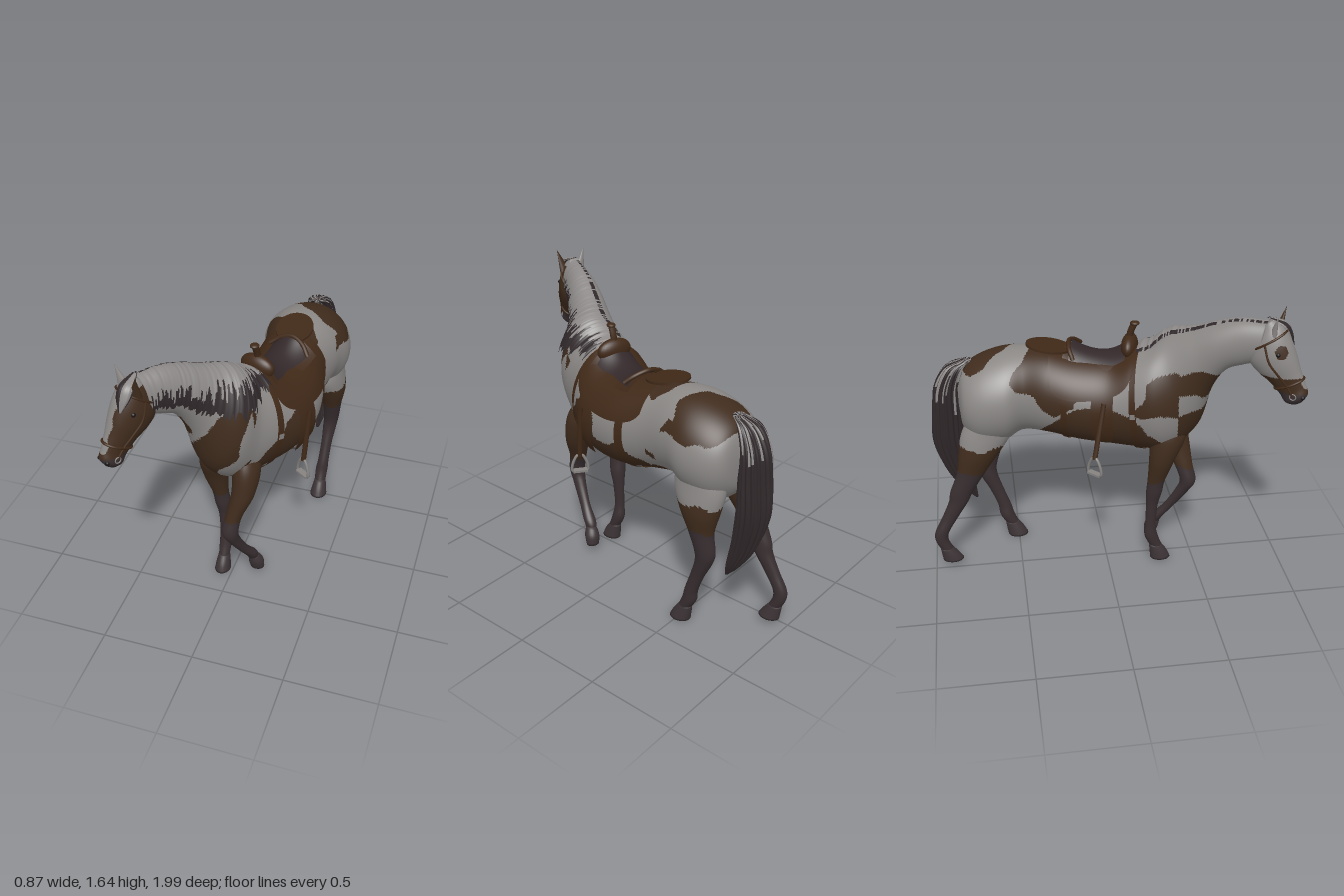
import * as THREE from 'three';

const mat = (name, color, side = THREE.FrontSide) => Object.assign(new THREE.MeshStandardMaterial({ color, side }), { name });
const V = (x, y, z) => new THREE.Vector3(x, y, z);
const hash = (n) => { const s = Math.sin(n * 127.1 + 3.7) * 43758.5453; return s - Math.floor(s); };

// Grid surface f(i, j); closed wraps j. paint(centre, i, j) picks a material index per triangle.
function grid(name, nu, nv, f, closed, mats, paint = () => 0) {
  const pos = [], cols = closed ? nv : nv + 1, lists = mats.map(() => []), pts = [];
  for (let i = 0; i <= nu; i++) for (let j = 0; j < cols; j++) {
    const p = f(i, j);
    pts.push(p);
    pos.push(p.x, p.y, p.z);
  }
  const id = (i, j) => i * cols + (j % cols);
  for (let i = 0; i < nu; i++) for (let j = 0; j < nv; j++) {
    const a = id(i, j), b = id(i, j + 1), c = id(i + 1, j), d = id(i + 1, j + 1);
    for (const tri of [[a, b, c], [b, d, c]]) {
      const m = V(0, 0, 0);
      tri.forEach((k) => m.addScaledVector(pts[k], 1 / 3));
      lists[paint(m, i, j)].push(...tri);
    }
  }
  const g = new THREE.BufferGeometry();
  g.setAttribute('position', new THREE.Float32BufferAttribute(pos, 3));
  g.setIndex(lists.flat());
  let start = 0;
  lists.forEach((l, k) => { if (l.length) g.addGroup(start, l.length, k); start += l.length; });
  g.computeVertexNormals();
  const mesh = new THREE.Mesh(g, mats);
  mesh.name = name;
  return mesh;
}

// Smooth tube through elliptical rings {c, a, b}; t counts rings, angle 0 is the left side, 90 degrees the top.
function makeSurface(rings) {
  const curve = (k) => new THREE.CatmullRomCurve3(rings.map((r) => r[k]), false, 'catmullrom', 0.5);
  const C = curve('c'), A = curve('a'), B = curve('b'), n = rings.length - 1;
  const at = (t, ang, s = 1) => {
    const u = THREE.MathUtils.clamp(t / n, 0, 1);
    return C.getPoint(u).addScaledVector(A.getPoint(u), s * Math.cos(ang)).addScaledVector(B.getPoint(u), s * Math.sin(ang));
  };
  return { at, n };
}
const loft = (name, surf, nu, nv, mats, paint, bump = () => 1) => grid(name, nu, nv, (i, j) => {
  const t = THREE.MathUtils.clamp((i - 1) / (nu - 2), 0, 1) * surf.n, ang = (j / nv) * Math.PI * 2;
  return surf.at(t, ang, i === 0 || i === nu ? 0 : bump(ang, t));
}, true, mats, paint);
// Open sheet over a surface; edges(u) gives the two edge angles in degrees
const sheet = (name, surf, t0, t1, edges, s, m) => grid(name, 24, 48, (i, j) => {
  const [a0, a1] = edges(i / 24);
  return surf.at(t0 + (t1 - t0) * i / 24, (a0 + (a1 - a0) * j / 48) * Math.PI / 180, s);
}, false, [m]);

// Ring from its side profile: top z, top y, bottom z, bottom y, centre x, half width, yaw
const profileRing = ([tz, ty, bz, by, x, w, yaw]) => ({
  c: V(x, (ty + by) / 2, (tz + bz) / 2),
  a: V(Math.cos(yaw) * w, 0, Math.sin(yaw) * w),
  b: V(-Math.tan(yaw) * (tz - bz) / 2, (ty - by) / 2, (tz - bz) / 2),
});
const flatRing = ([x, y, z, rx, rz]) => ({ c: V(x, y, z), a: V(rx, 0, 0), b: V(0, 0, rz) });

// Brown patches: (z, y) outlines on the sides, (x, y) on the chest, (x, z) on the croup
const leftPatches = [
  [[.44, 1.27], [.41, 1.2], [.44, 1.08], [.5, 1], [.7, 1], [.56, 1.2]],
  [[.31, .98], [.25, 1.08], [.08, 1.12], [.04, .95], [-.08, .92], [-.15, .97], [-.2, .88], [-.3, .86], [-.42, .83], [-.42, .6], [.6, .6], [.5, .83], [.42, .85]],
  [[-.45, 1.22], [-.5, 1.26], [-.78, 1.26], [-.78, 1.18], [-.7, 1.12], [-.55, 1.13], [-.42, 1.13]],
  [[-.31, .98], [-.37, .98], [-.37, .945], [-.31, .95]],
  [[-.28, .87], [-.31, .89], [-.39, .885], [-.41, .84], [-.3, .84]],
];
const rightPatches = [
  [[.55, 1.05], [.48, 1.24], [.33, 1.28], [.2, 1.19], [.12, 1.02], [.3, 1.01]],
  [[.2, .9], [.12, 1], [-.1, 1.05], [-.3, .95], [-.38, .82], [-.38, .6], [.6, .6], [.5, .8], [.3, .82]],
  [[-.15, 1.25], [-.18, 1.02], [-.3, .98], [-.42, 1.1], [-.5, 1.16], [-.53, 1.25]],
];
const chestPatches = [
  [[.15, 1.3], [.03, 1.25], [-.03, 1.18], [-.1, 1.08], [-.24, .99], [-.24, .7], [.01, .7], [-.03, .84], [.09, .98], [.13, 1.1]],
  [[-.01, .78], [.06, .83], [.16, .93], [.3, 1.03], [.3, .7], [-.01, .7]],
  [[-.24, 1.28], [-.15, 1.25], [-.13, 1.13], [-.18, 1.11], [-.24, 1.2]],
];
const croupPatches = [
  [[.03, -.78], [.07, -.66], [.16, -.55], [.3, -.47], [.45, -.48], [.45, -.7], [.35, -.85], [.1, -.85]],
  [[-.12, -.54], [.02, -.49], [.12, -.42], [.24, -.38], [.29, -.3], [.2, -.15], [-.1, -.15]],
];
const inside = (poly, u, v) => {
  let hit = false;
  poly.forEach(([u1, v1], i) => {
    const [u2, v2] = poly[(i + 1) % poly.length];
    if ((v1 > v) !== (v2 > v) && u < (u2 - u1) * (v - v1) / (v2 - v1) + u1) hit = !hit;
  });
  return hit;
};
// 0 = grey, 1 = brown, 2 = dark
function paintCoat(p) {
  const z = p.z + .012 * Math.sin(p.y * 38), y = p.y + .012 * Math.sin(p.z * 33 + p.x * 20), x = p.x + .01 * Math.sin(p.y * 30 + p.z * 25);
  if (y < .63) return 2;
  if (y < .79) return 1;
  let patches = p.x > .16 - .45 * Math.max(0, p.z + .05) ? leftPatches : rightPatches, u = z, v = y;
  if (p.z > .4 + .2 * p.x) [patches, u, v] = [chestPatches, x, y];
  else if (p.z < -.2 && p.y > 1.2) [patches, u, v] = [croupPatches, x, z];
  return patches.some((q) => inside(q, u, v)) ? 1 : 0;
}
const paintFrontLeg = (p) => (p.y < .55 + .012 * Math.sin(p.z * 33 + p.x * 20) ? 2 : 1);
function paintHead(p) {
  const s = (p.x + .31) * .863 + (p.z - .8) * .505, w = .006 * Math.sin(p.y * 60);
  if (p.y < 1.225) return 2;
  if (s < -.05 && Math.hypot(p.y - 1.455, p.z - .83) < .035) return 1;
  return p.y > 1.555 || (s < .015 + w && p.y > 1.31) || (Math.abs(s) < .02 + w && p.z > .9 && p.y > 1.25) ? 0 : 1;
}

export function createModel() {
  const horse = new THREE.Group();
  horse.name = 'horse';
  const grey = mat('greyCoat', 0x8a8785), brown = mat('brownCoat', 0x402c1d), dark = mat('darkCoat', 0x382e30);
  const hoofMat = mat('hoof', 0x3c3335), hairLight = mat('lightHair', 0x8c8988, THREE.DoubleSide);
  const hairDark = mat('darkHair', 0x30282a, THREE.DoubleSide), leather = mat('leather', 0x402918, THREE.DoubleSide);
  const seatMat = mat('seatLeather', 0x33282a, THREE.DoubleSide), metal = mat('metal', 0x858280), black = mat('eyeBlack', 0x151212);
  const coat = [grey, brown, dark];
  const add = (name, geo, m, parent = horse) => {
    const mesh = new THREE.Mesh(geo, m);
    mesh.name = name;
    parent.add(mesh);
    return mesh;
  };
  const tube = (name, pts, r, m, closed = false, parent = horse) =>
    add(name, new THREE.TubeGeometry(new THREE.CatmullRomCurve3(pts, closed), 48, r, 8, closed), m, parent);

  // Trunk and neck
  const body = makeSurface([
    [-.80, 1.12, -.80, .98, .17, .06, 0], [-.765, 1.2, -.78, .86, .17, .17, 0], [-.68, 1.26, -.70, .78, .17, .23, 0],
    [-.56, 1.3, -.56, .78, .17, .25, 0], [-.44, 1.31, -.45, .83, .17, .22, .05], [-.3, 1.29, -.3, .8, .165, .2, .15],
    [-.12, 1.25, -.12, .755, .155, .235, .27], [.05, 1.25, .05, .735, .12, .24, .33], [.17, 1.31, .2, .73, .06, .225, .38],
    [.25, 1.35, .36, .75, -.005, .21, .42], [.34, 1.42, .5, .9, -.035, .18, .47], [.44, 1.47, .55, 1.15, -.11, .12, .5],
    [.55, 1.53, .61, 1.28, -.175, .095, .53], [.66, 1.57, .69, 1.33, -.235, .08, .53], [.78, 1.58, .76, 1.36, -.295, .07, .53],
  ].map(profileRing));
  horse.add(loft('body', body, 230, 140, coat, paintCoat));

  // Head
  const head = makeSurface([
    [.80, 1.60, .76, 1.56, .03], [.85, 1.57, .72, 1.46, .07], [.89, 1.5, .71, 1.37, .088], [.92, 1.42, .75, 1.31, .082],
    [.945, 1.34, .81, 1.26, .062], [.97, 1.27, .86, 1.2, .047], [.985, 1.22, .885, 1.16, .047], [.965, 1.175, .915, 1.15, .027],
  ].map(([tz, ty, bz, by, w]) => profileRing([tz, ty, bz, by, -.31 - ((tz + bz) / 2 - .8) * .586, w, .53])));
  horse.add(loft('head', head, 80, 64, coat, paintHead));
  for (const [side, ang] of [['left', .5], ['right', Math.PI - .5]]) {
    add(side + 'Eye', new THREE.SphereGeometry(.012, 16, 12), black).position.copy(head.at(2.3, ang, .95));
    add(side + 'Nostril', new THREE.SphereGeometry(.011, 12, 8), black).position.copy(head.at(6.1, ang + (ang < 1 ? .3 : -.3), .95));
  }
  // Ears
  const ear = (name, base, tip, m) => {
    const e = add(name, new THREE.ConeGeometry(.033, base.distanceTo(tip), 16).scale(1, 1, .6), m);
    e.position.copy(base).lerp(tip, .5);
    e.quaternion.setFromUnitVectors(V(0, 1, 0), tip.clone().sub(base).normalize());
  };
  ear('leftEar', V(-.275, 1.52, .845), V(-.255, 1.645, .885), brown);
  ear('rightEar', V(-.35, 1.52, .795), V(-.393, 1.645, .80), grey);

  // Bridle
  const around = (t, s) => Array.from({ length: 24 }, (_, i) => head.at(t, i / 24 * Math.PI * 2, s));
  tube('crownStrap', around(1.35, 1.02), .006, leather, true);
  tube('noseband', around(4.5, 1.03), .007, leather, true);
  for (const [side, ang] of [['left', 0], ['right', Math.PI]]) {
    tube(side + 'CheekStrap', [1.35, 2.5, 3.5, 4.5, 5.4].map((t) => head.at(t, ang, 1.02)), .006, leather);
    const ring = add(side + 'BitRing', new THREE.TorusGeometry(.016, .003, 8, 20), metal);
    ring.position.copy(head.at(5.5, ang, 1.04));
    ring.rotation.y = Math.PI / 2 - .53;
  }

  // Legs: x, y, z, half width, half depth
  const legs = {
    leftFront: [[.08, .98, .32, .04, .08], [.105, .85, .37, .072, .098], [.10, .7, .42, .063, .075], [.06, .56, .46, .045, .052], [.045, .46, .485, .045, .046],
      [.06, .38, .455, .033, .04], [.09, .27, .39, .026, .034], [.115, .19, .33, .033, .037], [.125, .14, .305, .027, .03]],
    rightFront: [[-.07, .98, .3, .04, .09], [-.09, .85, .33, .076, .1], [-.095, .7, .3, .068, .072], [-.08, .56, .275, .045, .05], [-.07, .47, .265, .043, .045],
      [-.065, .38, .255, .031, .034], [-.065, .25, .25, .026, .03], [-.06, .165, .255, .034, .038], [-.06, .08, .29, .03, .034]],
    leftHind: [[.24, 1.12, -.6, .05, .08], [.275, .98, -.61, .09, .125], [.3, .86, -.615, .09, .15], [.32, .74, -.63, .08, .117], [.325, .62, -.645, .055, .075],
      [.32, .5, -.67, .045, .06], [.315, .43, -.66, .04, .05], [.31, .33, -.62, .032, .04], [.305, .22, -.58, .032, .038], [.3, .15, -.565, .036, .042], [.3, .08, -.53, .032, .036]],
    rightHind: [[.1, 1.12, -.6, .05, .08], [.07, .98, -.62, .09, .12], [.055, .86, -.66, .09, .14], [.045, .74, -.71, .08, .113], [.04, .62, -.76, .055, .08], [.04, .5, -.82, .045, .065],
      [.04, .43, -.845, .04, .055], [.035, .33, -.9, .032, .045], [.03, .24, -.95, .033, .04], [.03, .18, -.955, .033, .037], [.03, .11, -.925, .032, .036]],
  };
  const hooves = {
    leftFront: [[.125, .16, .31, .027, .03], [.135, .11, .295, .042, .042], [.14, .055, .285, .04, .034]],
    rightFront: [[-.06, .1, .28, .03, .035], [-.06, .05, .3, .039, .05], [-.06, .005, .312, .045, .058]],
    leftHind: [[.3, .1, -.54, .032, .038], [.3, .05, -.52, .042, .052], [.3, .005, -.505, .05, .06]],
    rightHind: [[.03, .13, -.935, .032, .036], [.032, .085, -.915, .04, .05], [.035, .045, -.9, .046, .06]],
  };
  for (const key in legs) {
    const paint = key.endsWith('Front') ? paintFrontLeg : paintCoat;
    horse.add(loft(key + 'Leg', makeSurface(legs[key].map(flatRing)), 80, 32, coat, paint));
    horse.add(loft(key + 'Hoof', makeSurface(hooves[key].map(flatRing)), 10, 24, [hoofMat]));
  }

  // Tail with strand ridges
  const tail = makeSurface([
    [.18, 1.25, -.745, .035, .03], [.18, 1.21, -.81, .065, .055], [.185, 1.1, -.855, .08, .07], [.19, .95, -.865, .085, .08],
    [.2, .75, -.87, .08, .085], [.21, .55, -.83, .055, .065], [.22, .42, -.78, .032, .038], [.22, .34, -.74, .008, .008],
  ].map(flatRing));
  horse.add(loft('tail', tail, 60, 100, [hairDark, hairLight],
    (p, i, j) => (i < 26 && hash(Math.floor(j / 2)) > .45 + i / 50 ? 1 : 0), (ang, t) => 1 + .07 * Math.sin(ang * 17 + t) * Math.min(1, t)));

  // Mane falling on the left side, ragged and darker at the crest and tips
  horse.add(grid('mane', 170, 20, (i, j) => {
    const t = 8.15 + 5.85 * i / 170, v = j / 20;
    const end = Math.max(-.4, Math.min(.9, 1 - .45 * (t - 8.5))) + .22 * (hash(Math.floor(i / 2)) - .5);
    return body.at(t, 1.9 + (end - 1.9) * v, 1.06 + .08 * v + .02 * hash(Math.floor(i / 3) + 50));
  }, false, [hairLight, hairDark], (p, i, j) => {
    const strand = hash(Math.floor(i / 2) + 9);
    return (j < 2 && strand > .3) || j / 20 > .58 + .22 * i / 170 + .3 * (strand - .5) ? 1 : 0;
  }));
  horse.add(loft('forelock', makeSurface([[-.3, 1.605, .785, .012, .012], [-.31, 1.58, .85, .035, .025], [-.318, 1.53, .885, .035, .02], [-.33, 1.46, .91, .008, .008]].map(flatRing)),
    20, 32, [hairLight, hairDark], (p, i, j) => (hash(Math.floor(j / 2) + 20) > .65 ? 1 : 0), (ang) => 1 + .08 * Math.sin(ang * 9)));

  // Saddle skirt, girths and fenders hugging the barrel
  horse.add(sheet('saddleSkirt', body, 5.05, 8.1, (u) => {
    const edge = 13 + 15 * u + 14 * Math.pow(2 * u - 1, 8);
    return [edge, 180 - edge];
  }, 1.06, leather));
  horse.add(sheet('frontGirth', body, 8, 8.28, () => [0, 360], 1.03, leather));
  horse.add(sheet('rearGirth', body, 5.5, 5.72, () => [0, 360], 1.03, leather));
  const fenderEdge = (u) => -40 + 18 * Math.pow(2 * u - 1, 4);
  horse.add(sheet('leftFender', body, 6.55, 7.35, (u) => [35, fenderEdge(u)], 1.08, leather));
  horse.add(sheet('rightFender', body, 6.55, 7.35, (u) => [145, 180 - fenderEdge(u)], 1.08, leather));
  horse.add(sheet('leftBuckle', body, 8.03, 8.25, () => [-5, 1], 1.05, metal));
  horse.add(sheet('rightBuckle', body, 8.03, 8.25, () => [179, 185], 1.05, metal));

  // Seat, pommel, horn and rear flap
  const saddle = new THREE.Group();
  saddle.name = 'saddle';
  saddle.position.set(.13, 0, 0);
  saddle.rotation.y = -.3;
  horse.add(saddle);
  const seatAt = (s) => (i, j) => {
    const u = i / 20 * 2 - 1, v = j / 20 * 2 - 1;
    return V(v * .125 * s, 1.275 + (u < 0 ? .05 : .07) * u * u * (1 - .4 * v * v) - .05 * v * v + (s > 1 ? -.012 : 0), -.02 + .17 * u * s);
  };
  saddle.add(grid('seat', 20, 20, seatAt(.9), false, [seatMat]), grid('seatRim', 20, 20, seatAt(1.1), false, [leather]));
  add('pommel', new THREE.SphereGeometry(1, 28, 18).scale(.1, .065, .045), leather, saddle).position.set(0, 1.32, .145);
  tube('hornNeck', [V(0, 1.34, .14), V(0, 1.4, .15), V(0, 1.45, .17)], .018, leather, false, saddle);
  add('hornCap', new THREE.SphereGeometry(1, 20, 12).scale(.024, .012, .026), leather, saddle).position.set(0, 1.452, .172);
  const cantle = [-.12, -.07, 0, .07, .12].map((x) => V(x, 1.325 - 4 * x * x, -.19 + 3 * x * x));
  tube('cantle', cantle, .012, leather, false, saddle);
  const flap = add('rearFlap', new THREE.CylinderGeometry(1, 1, .012, 32).scale(.1, 1, .125), leather);
  flap.position.set(.165, 1.31, -.295);
  flap.rotation.x = .16;

  // Stirrups
  const arch = [[-.04, 0], [.04, 0], [.042, .035], [.012, .095], [-.012, .095], [-.042, .035]].map(([x, y]) => V(x, y, 0));
  for (const [side, top, foot, turn] of [['left', V(.37, 1.08, .13), V(.355, .69, .16), -.65], ['right', V(-.115, 1.08, -.03), V(-.185, .69, -.09), .785]]) {
    const hang = foot.clone().add(V(0, .09, 0));
    tube(side + 'StirrupLeather', [top, top.clone().lerp(hang, .5), hang], .014, leather);
    const stirrup = new THREE.Group();
    stirrup.name = side + 'Stirrup';
    stirrup.position.copy(foot);
    stirrup.rotation.y = turn;
    tube('stirrupArch', arch, .008, metal, true, stirrup);
    add('stirrupTread', new THREE.BoxGeometry(.08, .012, .035), metal, stirrup);
    horse.add(stirrup);
  }
  return horse;
}
